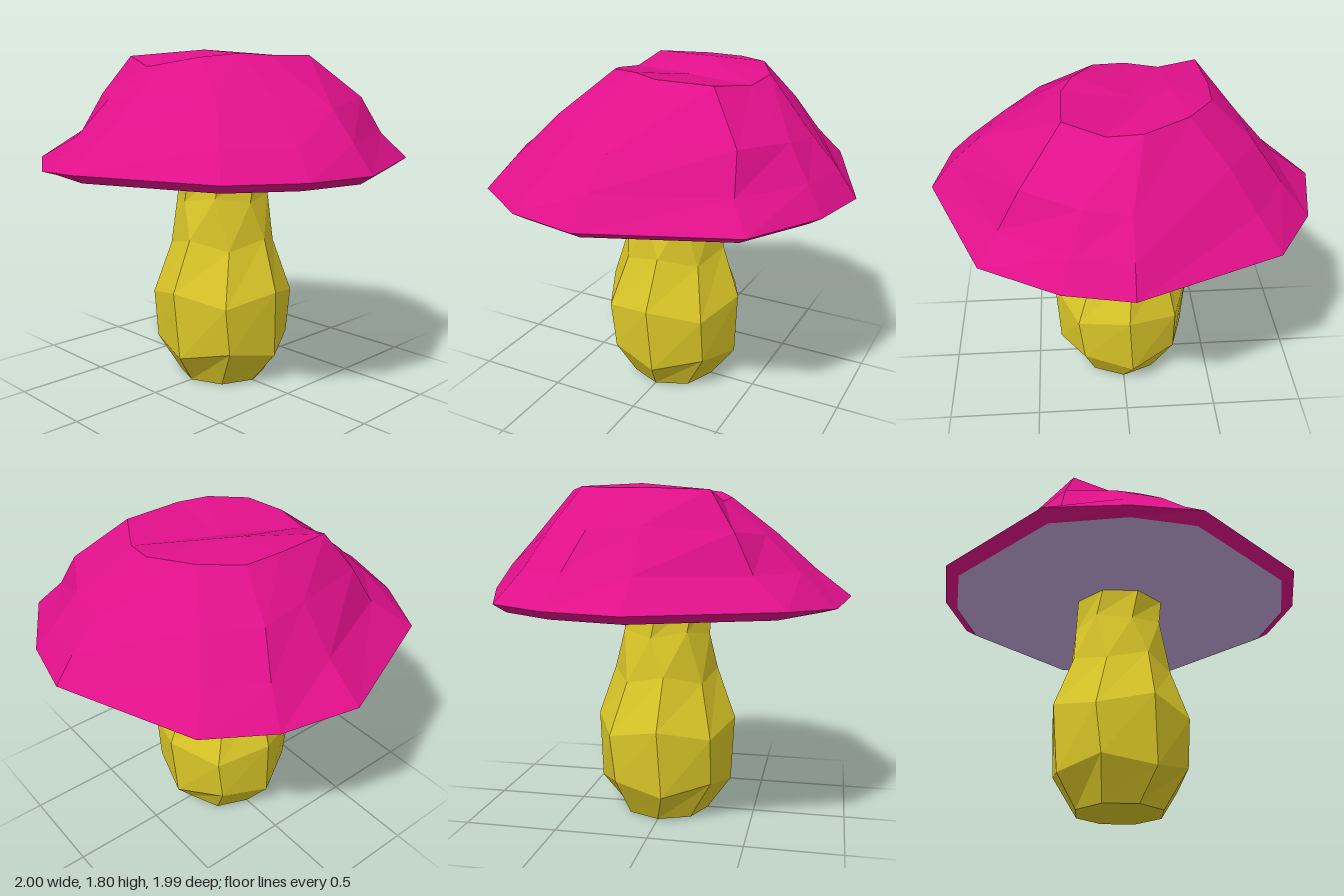
import * as THREE from 'three';

const v = (x, y, z) => new THREE.Vector3(x, y, z);

// Rings run from +x towards +z; each entry is [x, z, y]
const ring = (rows) => rows.map(([x, z, y]) => v(x, y, z));

// Faceted skin between successive rings, lowest first
function skin(rings) {
  const tris = [];
  for (let r = 0; r < rings.length - 1; r++) {
    const a = rings[r], b = rings[r + 1], n = a.length;
    for (let i = 0; i < n; i++) {
      const j = (i + 1) % n;
      tris.push(a[i], b[i], a[j], b[i], b[j], a[j]);
    }
  }
  return tris;
}

// Fan of triangles from a centre over a path, facing up or down
function fan(centre, path, up) {
  const tris = [];
  for (let i = 0; i < path.length - 1; i++) {
    if (up) tris.push(centre, path[i + 1], path[i]);
    else tris.push(centre, path[i], path[i + 1]);
  }
  return tris;
}

function facetedMesh(name, tris, color) {
  const geometry = new THREE.BufferGeometry().setFromPoints(tris);
  geometry.computeVertexNormals();
  const mesh = new THREE.Mesh(geometry, new THREE.MeshStandardMaterial({ color, flatShading: true }));
  mesh.name = name;
  return mesh;
}

export function createModel() {
  const group = new THREE.Group();
  group.name = 'mushroom';

  // Cap: wide rim, dented front corner, shoulders and a creased crown
  const rim = ring([
    [1, 0, 1.225], [0.93, 0.37, 1.225], [0.71, 0.7, 1.225], [0, 0.99, 1.225],
    [-0.35, 0.92, 1.2], [-0.71, 0.7, 1.225], [-1, 0, 1.225], [-0.91, -0.4, 1.225],
    [-0.71, -0.71, 1.225], [0, -1, 1.225], [0.33, -0.93, 1.225], [0.71, -0.71, 1.225],
  ]);
  const skirt = ring([
    [0.88, 0, 1.37], [0.81, 0.3, 1.36], [0.6, 0.6, 1.37], [0, 0.8, 1.37],
    [-0.3, 0.74, 1.37], [-0.56, 0.53, 1.37], [-0.79, 0, 1.38], [-0.77, -0.34, 1.39],
    [-0.6, -0.6, 1.38], [0, -0.9, 1.36], [0.28, -0.84, 1.36], [0.61, -0.61, 1.36],
  ]);
  const shoulder = ring([
    [0.73, -0.03, 1.52], [0.6, 0.22, 1.55], [0.42, 0.45, 1.57], [-0.02, 0.6, 1.55],
    [-0.27, 0.56, 1.55], [-0.5, 0.43, 1.57], [-0.6, 0, 1.6], [-0.63, -0.26, 1.58],
    [-0.47, -0.5, 1.58], [0, -0.76, 1.51], [0.22, -0.72, 1.53], [0.5, -0.57, 1.55],
  ]);
  const crown = ring([
    [0.3, -0.05, 1.775], [0.24, 0.1, 1.785], [0.13, 0.28, 1.765], [-0.04, 0.36, 1.735],
    [-0.22, 0.34, 1.715], [-0.41, 0.3, 1.77], [-0.43, 0, 1.78], [-0.42, -0.2, 1.78],
    [-0.29, -0.38, 1.79], [-0.07, -0.5, 1.775], [0.1, -0.47, 1.75], [0.3, -0.36, 1.775],
  ]);
  const underRim = rim.map((p) => v(p.x * 0.93, 1.18, p.z * 0.93));

  // The crease crosses the crown between ring corners 4 and 10
  const crease = v(-0.06, 1.735, -0.06);
  const peak = v(-0.23, 1.805, -0.08);
  const leftSide = [...crown.slice(10), ...crown.slice(0, 5)];
  const rightSide = [...crown.slice(4, 11), crease, crown[4]];
  group.add(facetedMesh('cap', [
    ...skin([underRim, rim, skirt, shoulder, crown]),
    ...fan(crease, leftSide, true),
    ...fan(peak, rightSide, true),
  ], 0xe0108a));

  // Flat underside of the cap
  group.add(facetedMesh('capUnderside',
    fan(v(0, 1.175, 0), [...underRim, underRim[0]], false), 0xc4a8dc));

  // Stem: eight-sided, bulging low, each ring twisted: [y, radius, twist, zigzag]
  const sides = 8;
  const stemRings = [
    [0, 0.24, 0, 0], [0.19, 0.365, 0.12, -0.025], [0.5, 0.385, 0.06, 0.03],
    [0.78, 0.285, 0.14, 0.025], [1.02, 0.25, -0.14, -0.015], [1.18, 0.25, 0, 0],
  ].map(([y, radius, twist, zigzag]) => Array.from({ length: sides }, (_, i) => {
    const a = (i / sides) * Math.PI * 2 - twist;
    return v(Math.cos(a) * radius, y + (i % 2 ? -zigzag : zigzag), Math.sin(a) * radius);
  }));
  const foot = stemRings[0];
  group.add(facetedMesh('stem', [
    ...skin(stemRings),
    ...fan(v(0, 0, 0), [...foot, foot[0]], false),
  ], 0xdcc828));

  return group;
}
